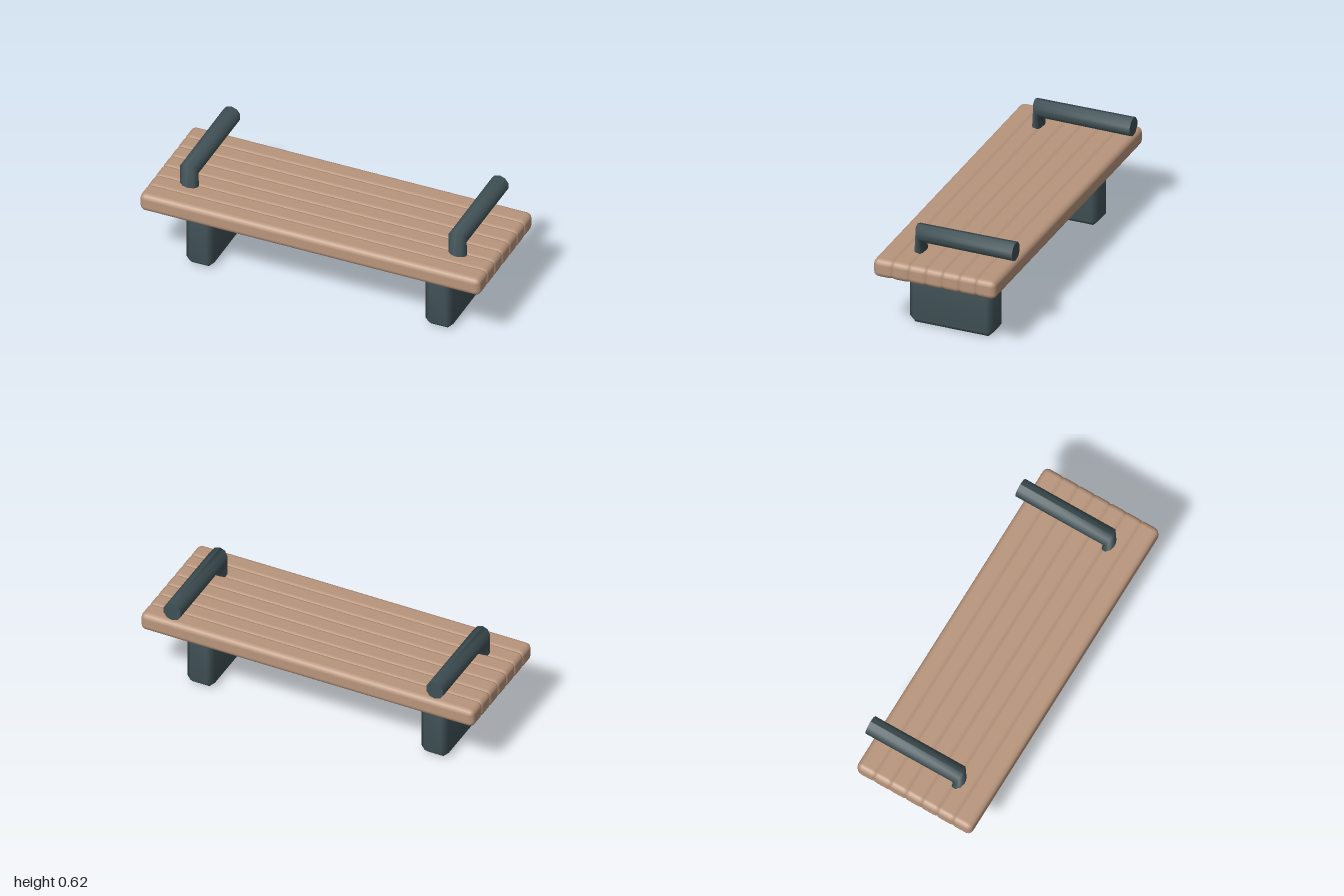
import * as THREE from 'three';
import { mergeVertices } from 'three/addons/utils/BufferGeometryUtils.js';
import { RoundedBoxGeometry } from 'three/addons/geometries/RoundedBoxGeometry.js';
import { ConvexGeometry } from 'three/addons/geometries/ConvexGeometry.js';

const wood = new THREE.MeshStandardMaterial({ color: 0xb8957c });
wood.name = 'wood';
const metal = new THREE.MeshStandardMaterial({ color: 0x3f5055 });
metal.name = 'dark metal';

// Box with a single chamfer of size c and smooth normals
function chamferBox(w, h, d, c) {
  const half = [w / 2, h / 2, d / 2];
  const points = [];
  for (const sx of [-1, 1]) for (const sy of [-1, 1]) for (const sz of [-1, 1]) {
    for (let axis = 0; axis < 3; axis++) {
      const p = [sx, sy, sz].map((s, i) => s * (half[i] - (i === axis ? 0 : c)));
      points.push(new THREE.Vector3(...p));
    }
  }
  let geo = new ConvexGeometry(points);
  geo.deleteAttribute('normal');
  geo = mergeVertices(geo);
  geo.computeVertexNormals();
  return geo;
}

// Bent pipe: a cylinder whose three rings are moved to foot, elbow and rear end
function railGeometry() {
  const geo = new THREE.CylinderGeometry(1, 1, 2, 10, 2);
  const pos = geo.attributes.position;
  // centre (y, z) and outward radius direction (dy, dz) of each ring
  const rings = [
    { y: 0.308, z: 0.171, dy: -0.0025, dz: 0.053 },
    { y: 0.567, z: 0.183, dy: 0.049, dz: 0.02 },
    { y: 0.5675, z: -0.374, dy: 0.0535, dz: 0 },
  ];
  for (let i = 0; i < pos.count; i++) {
    const r = rings[Math.round(pos.getY(i)) + 1];
    const t = pos.getZ(i);
    pos.setXYZ(i, pos.getX(i) * 0.0535, r.y + t * r.dy, r.z + t * r.dz);
  }
  geo.computeVertexNormals();
  return geo;
}

export function createModel() {
  const group = new THREE.Group();
  const add = (name, geo, mat, x, y, z) => {
    const mesh = new THREE.Mesh(geo, mat);
    mesh.name = name;
    mesh.position.set(x, y, z);
    group.add(mesh);
  };

  // Seven overlapping seat slats
  const slat = new RoundedBoxGeometry(2, 0.108, 0.127, 2, 0.032);
  for (let i = 0; i < 7; i++) {
    add('seatSlat' + (i + 1), slat, wood, 0, 0.412, 0.3115 - i * 0.0983);
  }

  // Block legs and bent armrests on both sides
  const leg = chamferBox(0.164, 0.338, 0.492, 0.033);
  const rail = railGeometry();
  for (const [side, s] of [['left', 1], ['right', -1]]) {
    add(side + 'Leg', leg, metal, s * 0.702, 0.169, 0.016);
    add(side + 'Armrest', rail, metal, s * 0.788, 0, 0);
  }
  return group;
}
